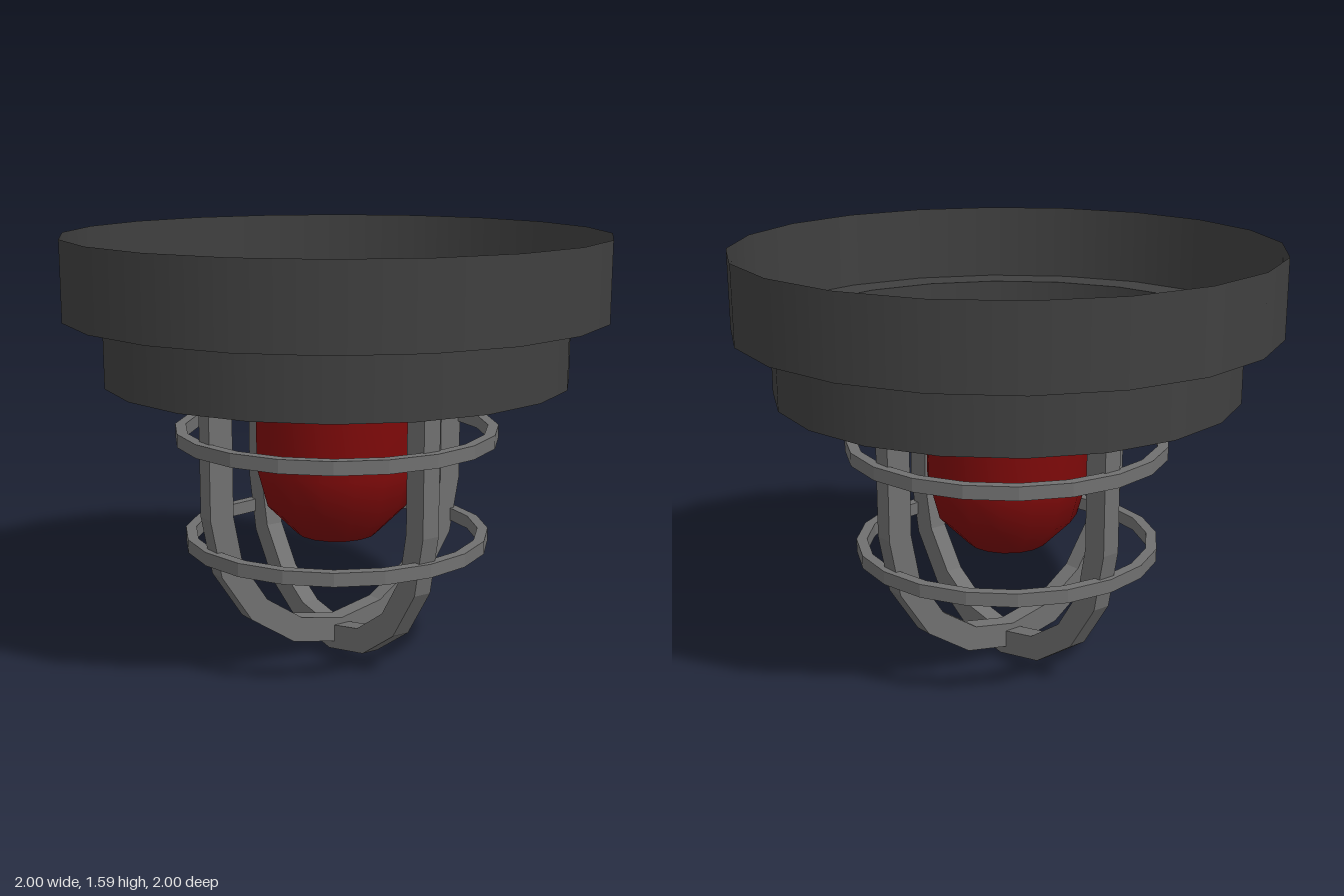
import * as THREE from 'three';

const SIDES = 20;

export function createModel() {
  const model = new THREE.Group();
  const housingMat = new THREE.MeshStandardMaterial({ color: 0x404040, side: THREE.DoubleSide });
  const cageMat = new THREE.MeshStandardMaterial({ color: 0x707070 });
  const redMat = new THREE.MeshStandardMaterial({ color: 0x800a0a, side: THREE.DoubleSide });

  const add = (parent, name, geometry, material) => {
    const mesh = new THREE.Mesh(geometry, material);
    mesh.name = name;
    parent.add(mesh);
    return mesh;
  };

  // Sheet housing, open at the top: two stepped walls, a ledge and a floor
  const housing = new THREE.Group();
  housing.name = 'housing';
  model.add(housing);
  const wall = (name, r, y0, y1) =>
    add(housing, name, new THREE.CylinderGeometry(r, r, y1 - y0, SIDES, 1, true), housingMat)
      .position.y = (y0 + y1) / 2;
  wall('upperWall', 1, 1.3, 1.59);
  wall('lowerWall', 0.86, 1.06, 1.3);
  const ledge = new THREE.RingGeometry(0.86, 1, SIDES).rotateX(-Math.PI / 2);
  add(housing, 'ledge', ledge, housingMat).position.y = 1.3;
  const floor = new THREE.CircleGeometry(0.86, SIDES).rotateX(-Math.PI / 2);
  add(housing, 'floor', floor, housingMat).position.y = 1.06;

  // Red lens: rounded bottom, straight wall, open top just above the floor
  const lensR = 0.305, lensY = 0.73;
  const lensProfile = [];
  for (let i = 0; i <= 3; i++) {
    const a = (i / 3) * Math.PI / 2;
    lensProfile.push(new THREE.Vector2(lensR * Math.sin(a), lensY - lensR * Math.cos(a)));
  }
  lensProfile.push(new THREE.Vector2(lensR, 1.13));
  add(model, 'lens', new THREE.LatheGeometry(lensProfile, 16), redMat);

  // Guard cage
  const cage = new THREE.Group();
  cage.name = 'guardCage';
  model.add(cage);

  // U-shaped bar cut from two concentric half circles with straight legs
  const outerR = 0.57, innerR = 0.475, barWidth = 0.07, top = 1.1, centreY = 0.573;
  const arc = (r) => Array.from({ length: 9 }, (_, i) => {
    const a = Math.PI + (i / 8) * Math.PI;
    return new THREE.Vector2(r * Math.cos(a), centreY + r * Math.sin(a));
  });
  const outline = [
    new THREE.Vector2(-outerR, top), ...arc(outerR), new THREE.Vector2(outerR, top),
    new THREE.Vector2(innerR, top), ...arc(innerR).reverse(), new THREE.Vector2(-innerR, top),
  ];
  const barGeometry = new THREE.ExtrudeGeometry(new THREE.Shape(outline),
    { depth: barWidth, bevelEnabled: false });
  barGeometry.translate(0, 0, -barWidth / 2);
  add(cage, 'crossBar', barGeometry, cageMat);
  const second = add(cage, 'frontBackBar', barGeometry, cageMat);
  second.rotation.y = Math.PI / 2;
  second.position.y = 0.03;

  // Flat hoops around the bars
  const hoop = (name, r, y) => {
    const shape = new THREE.Shape();
    const hole = new THREE.Path();
    for (let i = 0; i < SIDES; i++) {
      const a = (i / SIDES) * Math.PI * 2;
      const c = Math.cos(a), s = Math.sin(a), ri = r - 0.04;
      if (i === 0) { shape.moveTo(r, 0); hole.moveTo(ri, 0); }
      else { shape.lineTo(r * c, r * s); hole.lineTo(ri * c, ri * s); }
    }
    shape.closePath();
    hole.closePath();
    shape.holes.push(hole);
    const geometry = new THREE.ExtrudeGeometry(shape, { depth: 0.05, bevelEnabled: false });
    add(cage, name, geometry.rotateX(-Math.PI / 2), cageMat).position.y = y;
  };
  hoop('upperHoop', 0.605, 0.83);
  hoop('lowerHoop', 0.573, 0.43);

  return model;
}
